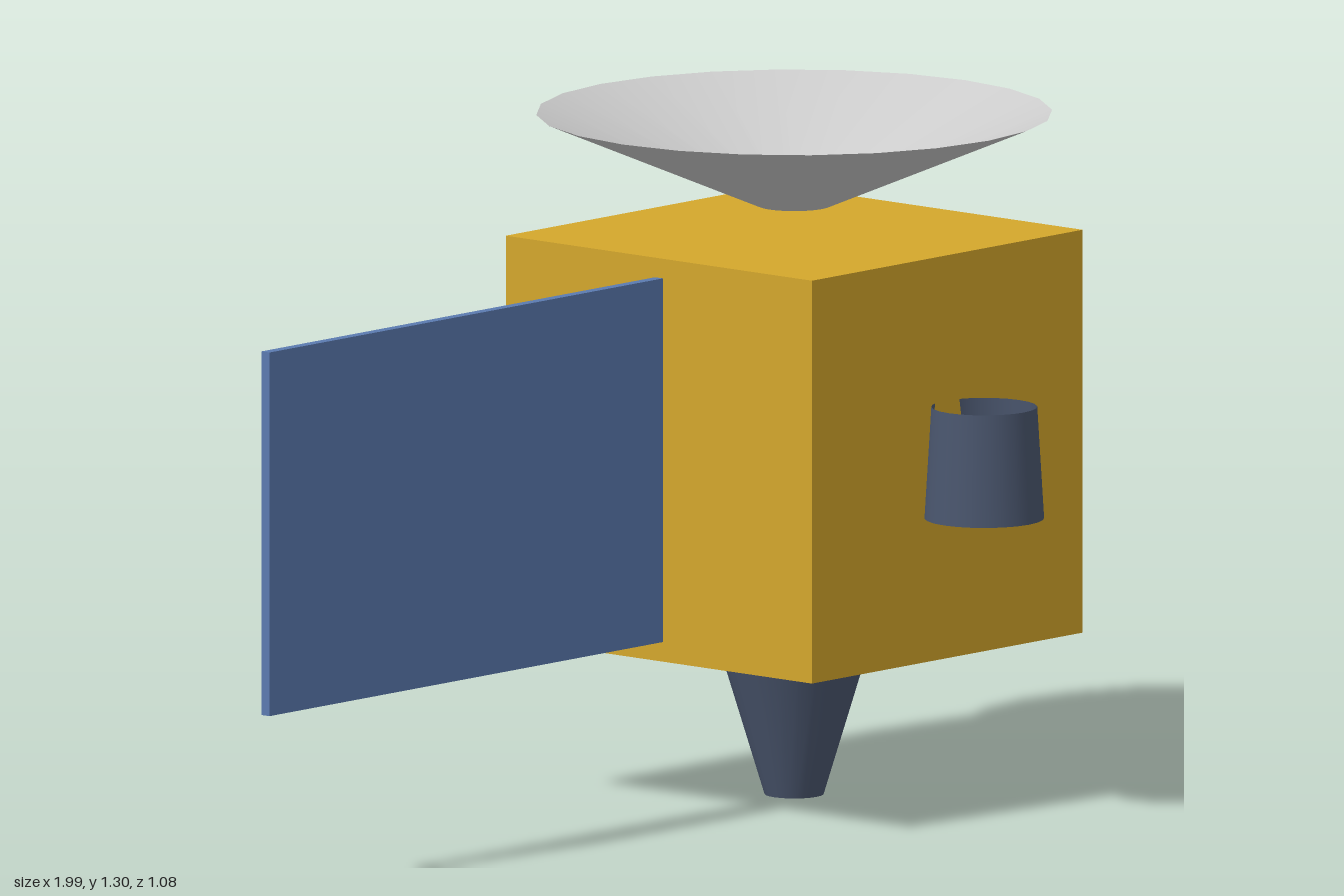
import * as THREE from 'three';

const CX = 0.505, CZ = -0.05; // main axis of the satellite body

const material = (color, side = THREE.FrontSide) => new THREE.MeshStandardMaterial({ color, side });

export function createModel() {
  const group = new THREE.Group();
  const gold = material(0xd4a72c);
  const blue = material(0x5b7ab0);
  const dark = material(0x4a566e, THREE.DoubleSide);
  const grey = material(0xcccccc, THREE.DoubleSide);

  const add = (name, geometry, mat, x, y, z) => {
    const mesh = new THREE.Mesh(geometry, mat);
    mesh.name = name;
    mesh.position.set(x, y, z);
    group.add(mesh);
  };

  // Open cone frustum standing between two heights
  const openCone = (name, mat, rTop, rBottom, y0, y1, x, z) =>
    add(name, new THREE.CylinderGeometry(rTop, rBottom, y1 - y0, 24, 1, true), mat, x, (y0 + y1) / 2, z);

  // Cube-shaped body
  add('body', new THREE.BoxGeometry(0.77, 0.77, 0.77), gold, CX, 0.687, CZ);

  // Single solar panel reaching out from the right side
  add('solarPanel', new THREE.BoxGeometry(1.12, 0.695, 0.02), blue, -0.44, 0.687, CZ);

  // Dish floating above the body, open at the throat
  openCone('dishAntenna', grey, 0.487, 0.07, 1.125, 1.302, CX, CZ);

  // Thruster nozzle under the body
  openCone('thrusterNozzle', dark, 0.148, 0.056, 0, 0.302, CX, CZ);

  // Upright sensor tube sunk slightly into the front face
  openCone('sensorTube', dark, 0.1, 0.113, 0.58, 0.793, CX, 0.428);

  return group;
}
